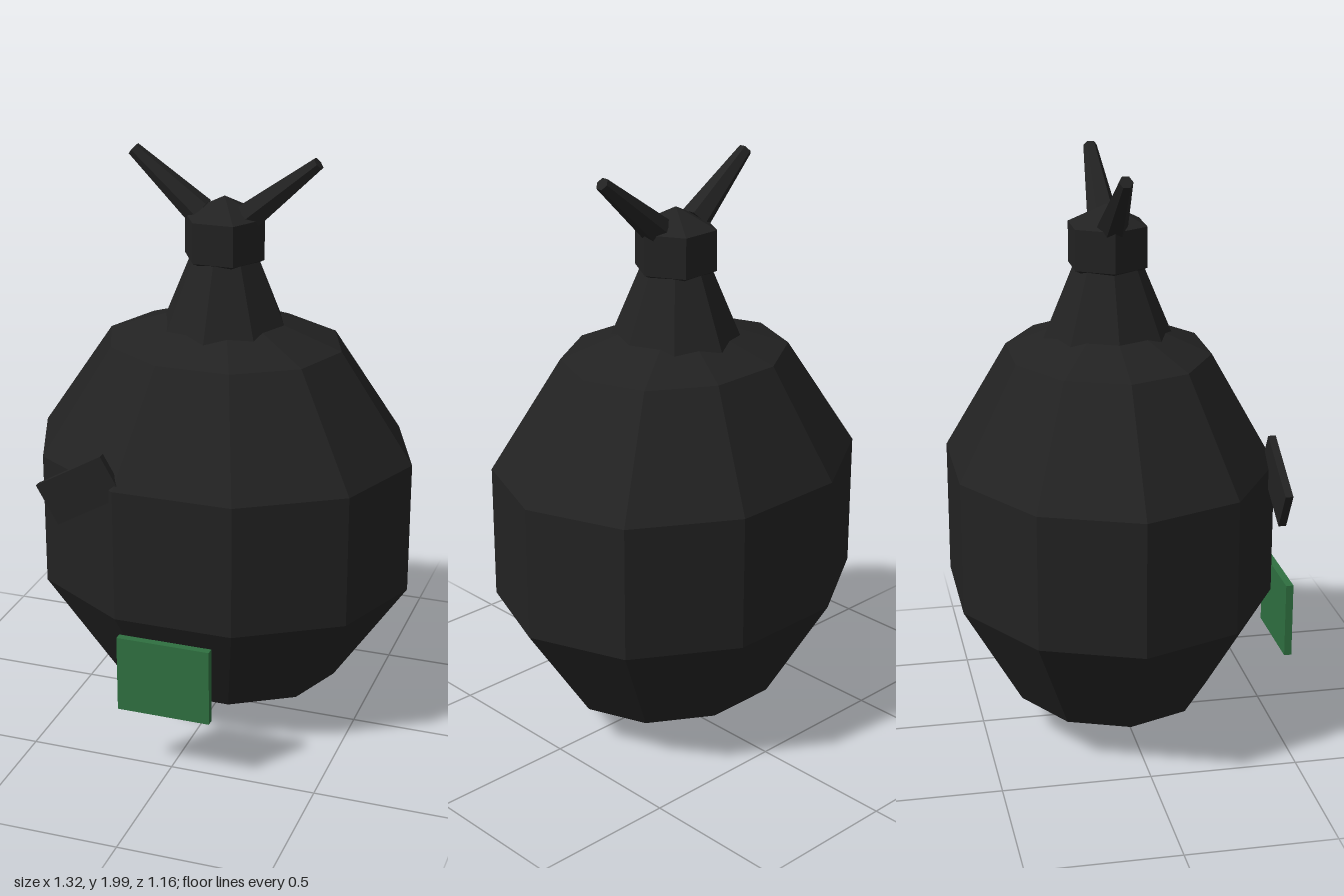
import * as THREE from 'three';

export function createModel() {
  const model = new THREE.Group();
  const black = new THREE.MeshStandardMaterial({ color: 0x222222, flatShading: true });
  black.name = 'charcoal black';
  const green = new THREE.MeshStandardMaterial({ color: 0x2f7040, flatShading: true });
  green.name = 'label green';

  const CENTER_Z = -0.05;
  const add = (name, geometry, material, x, y, z) => {
    const mesh = new THREE.Mesh(geometry, material);
    mesh.name = name;
    mesh.position.set(x, y, z);
    model.add(mesh);
    return mesh;
  };

  // Faceted body, flattened front to back
  const body = new THREE.SphereGeometry(1, 10, 5).scale(0.695, 0.745, 0.586);
  add('body', body, black, 0, 0.755, CENTER_Z);

  // Tapered neck with a small faceted cap
  add('neck', new THREE.CylinderGeometry(0.118, 0.23, 0.27, 8), black, 0, 1.51, CENTER_Z);
  const cap = new THREE.SphereGeometry(1, 6, 3).scale(0.16, 0.137, 0.16);
  add('cap', cap, black, 0, 1.715, CENTER_Z);

  // Two prongs spreading from the cap
  const up = new THREE.Vector3(0, 1, 0);
  for (const side of [1, -1]) {
    const base = new THREE.Vector3(side * 0.085, 1.79, CENTER_Z);
    const tip = new THREE.Vector3(side * 0.317, 1.984, CENTER_Z);
    const axis = tip.clone().sub(base);
    const mid = base.clone().add(tip).multiplyScalar(0.5);
    const prong = add(side > 0 ? 'leftProng' : 'rightProng',
      new THREE.CylinderGeometry(0.023, 0.052, axis.length(), 6), black, mid.x, mid.y, mid.z);
    prong.quaternion.setFromUnitVectors(up, axis.normalize());
  }

  // Front label and tilted side tab
  add('frontLabel', new THREE.BoxGeometry(0.32, 0.265, 0.026), green, 0, 0.378, 0.562);
  const tab = add('tiltedTab', new THREE.BoxGeometry(0.265, 0.15, 0.026), black, -0.323, 0.968, 0.458);
  tab.rotation.z = Math.PI / 6;

  return model;
}
